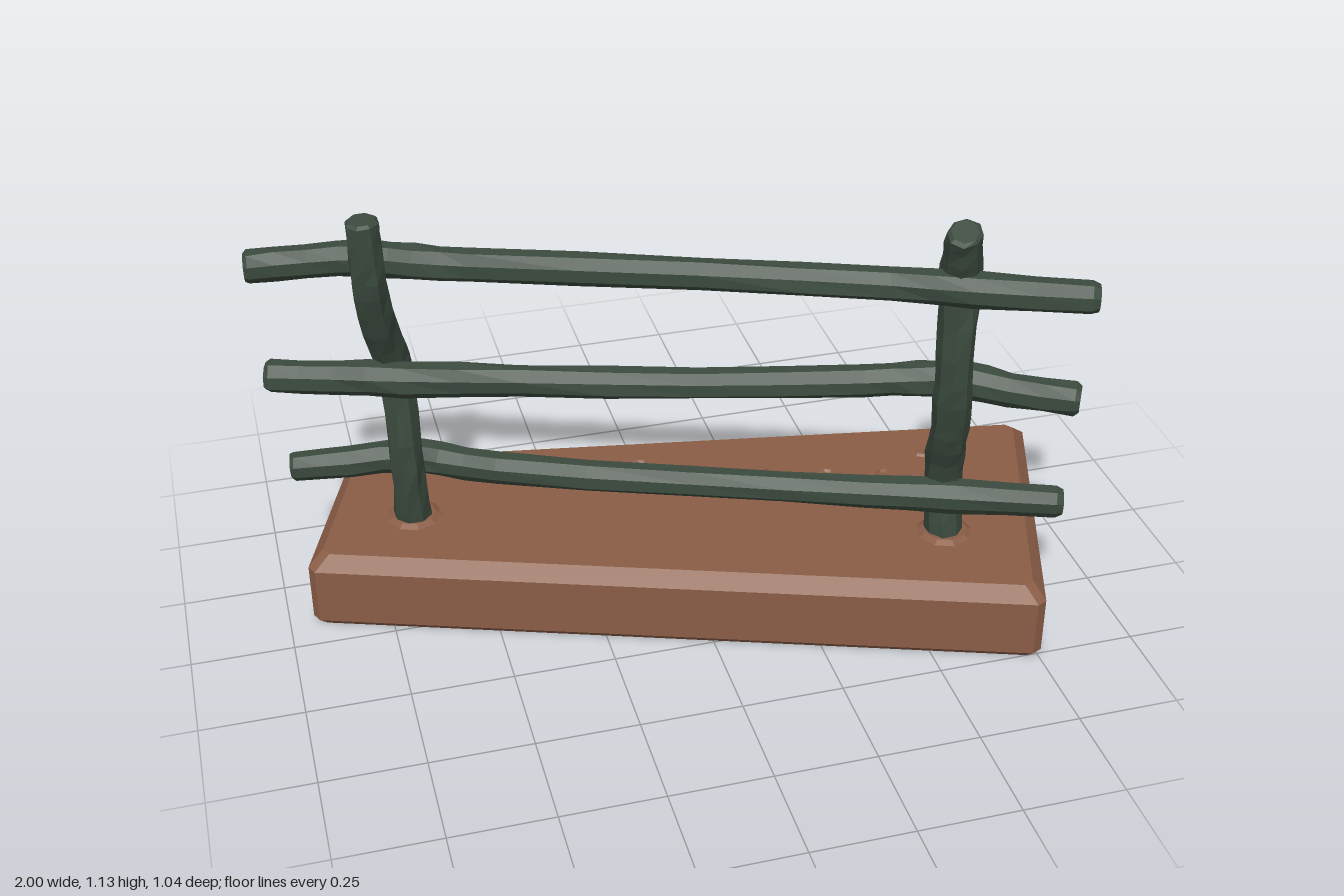
import * as THREE from 'three';

// Small repeatable noise for the hewn look
function seeded(seed) {
  let s = seed;
  return () => (s = (s * 16807) % 2147483647) / 2147483647;
}

// Closed faceted solid through equal-length loops of points
function loft(rings) {
  const pos = [];
  const tri = (...pts) => pts.forEach((p) => pos.push(p.x, p.y, p.z));
  const n = rings[0].length;
  const centre = (r) => r.reduce((s, p) => s.add(p), new THREE.Vector3()).divideScalar(n);
  const first = rings[0], last = rings[rings.length - 1];
  const c0 = centre(first), c1 = centre(last);
  for (let j = 0; j < n; j++) {
    const k = (j + 1) % n;
    for (let i = 0; i < rings.length - 1; i++) {
      const a = rings[i], b = rings[i + 1];
      tri(a[j], a[k], b[k]);
      tri(a[j], b[k], b[j]);
    }
    tri(c0, first[k], first[j]);
    tri(c1, last[j], last[k]);
  }
  const geo = new THREE.BufferGeometry();
  geo.setAttribute('position', new THREE.Float32BufferAttribute(pos, 3));
  geo.computeVertexNormals();
  return geo;
}

// Crooked branch: points are [x, y, z, radius]
function branch(points, seed, reference) {
  const rand = seeded(seed);
  const curve = new THREE.CatmullRomCurve3(points.map((p) => new THREE.Vector3(p[0], p[1], p[2])), false, 'centripetal');
  const per = 2, steps = (points.length - 1) * per, sides = 8;
  const rings = [];
  const addRing = (t, radius, wobble) => {
    const p = curve.getPoint(t), tan = curve.getTangent(t);
    const b = new THREE.Vector3().crossVectors(tan, reference).normalize();
    const n = new THREE.Vector3().crossVectors(b, tan);
    rings.push(Array.from({ length: sides }, (_, j) => {
      const a = ((j + 0.5) / sides) * Math.PI * 2;
      const r = radius * (1 + (rand() - 0.5) * wobble);
      return p.clone().addScaledVector(n, Math.cos(a) * r).addScaledVector(b, Math.sin(a) * r);
    }));
  };
  const radiusAt = (i) => {
    const k = Math.min(Math.floor(i / per), points.length - 2), f = i / per - k;
    return THREE.MathUtils.lerp(points[k][3], points[k + 1][3], f);
  };
  // Chamfered ends
  addRing(0, radiusAt(0) * 0.8, 0.1);
  for (let i = 0; i <= steps; i++) {
    const t = i === 0 ? 0.008 : i === steps ? 0.992 : i / steps;
    addRing(t, radiusAt(i), 0.16);
  }
  addRing(1, radiusAt(steps) * 0.8, 0.1);
  return loft(rings);
}

// Slab with skewed corners, cut corner edges and bevelled rims
function slab() {
  const corners = [[0.75, 0.525], [1.005, -0.222], [-0.785, -0.527], [-0.947, -0.075]]
    .map(([x, z]) => new THREE.Vector3(x, 0, z));
  const cut = 0.02;
  const levels = [[0, 0.015], [0.018, 0], [0.165, 0], [0.2, 0.032]];
  return loft(levels.map(([y, inset]) => corners.flatMap((c, i) => {
    const toPrev = corners[(i + 3) % 4].clone().sub(c).normalize();
    const toNext = corners[(i + 1) % 4].clone().sub(c).normalize();
    const p = c.clone().addScaledVector(toPrev, inset).addScaledVector(toNext, inset).setY(y);
    return [p.clone().addScaledVector(toPrev, cut), p.clone().addScaledVector(toNext, cut)];
  })));
}

export function createModel() {
  const model = new THREE.Group();
  const wood = new THREE.MeshStandardMaterial({ color: 0x3b4a3e });
  wood.name = 'dark green wood';
  const earth = new THREE.MeshStandardMaterial({ color: 0x8a5d46 });
  earth.name = 'brown earth';
  const add = (name, geo, mat) => {
    const mesh = new THREE.Mesh(geo, mat);
    mesh.name = name;
    model.add(mesh);
    return mesh;
  };

  add('base', slab(), earth);

  // Upright posts
  const alongX = new THREE.Vector3(1, 0, 0);
  add('rightPost', branch([
    [-0.66, 0.17, -0.205, 0.05], [-0.665, 0.3, -0.18, 0.044], [-0.672, 0.45, -0.17, 0.042],
    [-0.675, 0.6, -0.182, 0.043], [-0.685, 0.69, -0.178, 0.048], [-0.712, 0.8, -0.122, 0.042],
    [-0.728, 0.92, -0.078, 0.042], [-0.733, 1.0, -0.066, 0.041], [-0.736, 1.108, -0.062, 0.04],
  ], 11, alongX), wood);
  add('leftPost', branch([
    [0.605, 0.17, 0.217, 0.048], [0.6, 0.3, 0.203, 0.046], [0.59, 0.4, 0.218, 0.047],
    [0.575, 0.5, 0.258, 0.046], [0.565, 0.6, 0.293, 0.045], [0.556, 0.7, 0.308, 0.045],
    [0.556, 0.85, 0.308, 0.045], [0.556, 0.96, 0.3, 0.047], [0.548, 1.04, 0.325, 0.045],
    [0.535, 1.115, 0.358, 0.04],
  ], 23, alongX), wood);

  // Rails weaving past the posts
  const up = new THREE.Vector3(0, 1, 0);
  add('topRail', branch([
    [-1, 0.965, -0.18, 0.04], [-0.86, 0.967, -0.168, 0.041], [-0.72, 0.968, -0.145, 0.043],
    [-0.62, 0.967, -0.1, 0.042], [-0.5, 0.965, -0.055, 0.04], [0, 0.963, 0.122, 0.038],
    [0.4, 0.96, 0.275, 0.039], [0.57, 0.96, 0.352, 0.043], [0.83, 0.957, 0.452, 0.039],
  ], 37, up), wood);
  add('middleRail', branch([
    [-0.98, 0.652, -0.215, 0.04], [-0.82, 0.652, -0.165, 0.041], [-0.67, 0.652, -0.115, 0.044],
    [-0.4, 0.652, -0.035, 0.039], [0, 0.65, 0.085, 0.038], [0.38, 0.655, 0.185, 0.039],
    [0.5, 0.664, 0.222, 0.043], [0.6, 0.664, 0.252, 0.044], [0.7, 0.654, 0.31, 0.042],
    [0.845, 0.65, 0.39, 0.04],
  ], 41, up), wood);
  add('bottomRail', branch([
    [-0.945, 0.342, -0.285, 0.038], [-0.8, 0.347, -0.262, 0.04], [-0.66, 0.352, -0.245, 0.043],
    [-0.58, 0.35, -0.205, 0.043], [-0.45, 0.347, -0.135, 0.04], [0, 0.343, 0.045, 0.038],
    [0.4, 0.339, 0.19, 0.04], [0.6, 0.336, 0.26, 0.043], [0.85, 0.333, 0.352, 0.038],
  ], 53, up), wood);

  // Low earth ridges around the post feet
  [[-0.66, -0.2], [0.605, 0.215]].forEach(([x, z], i) => {
    const foot = add(['rightFootMound', 'leftFootMound'][i], new THREE.CylinderGeometry(0.055, 0.075, 0.012, 9).toNonIndexed(), earth);
    foot.geometry.computeVertexNormals();
    foot.position.set(x, 0.203, z);
  });

  // Little scuffed crescents on the ground
  const scuffs = [[-0.06, -0.26], [0.1, -0.21], [0.23, -0.155], [0.4, -0.09], [0.55, -0.05], [0.68, -0.14], [0.7, 0.02]];
  scuffs.forEach(([x, z], i) => {
    const geo = new THREE.TorusGeometry(0.026, 0.007, 4, 4, Math.PI * 0.9).toNonIndexed();
    geo.computeVertexNormals();
    geo.rotateX(-Math.PI / 2);
    const scuff = add('groundScuff', geo, earth);
    scuff.position.set(x, 0.199, z);
    scuff.rotation.y = i * 1.9;
  });
  return model;
}
